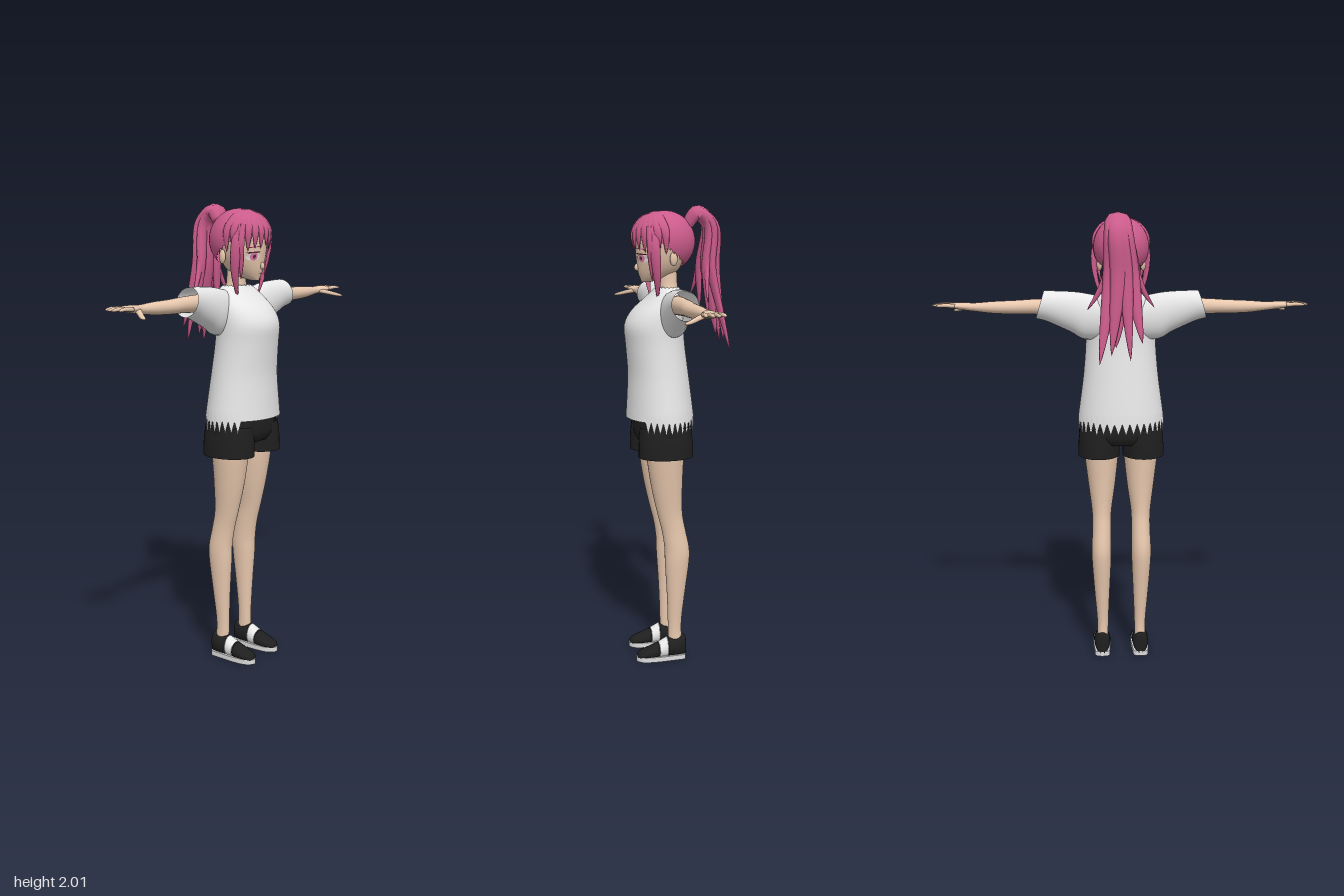
import * as THREE from 'three';

const V = (x, y, z) => new THREE.Vector3(x, y, z);
const mat = (name, color, double) => {
  const m = new THREE.MeshStandardMaterial({ color });
  m.name = name;
  if (double) m.side = THREE.DoubleSide;
  return m;
};

// Smoothly interpolated cross-section at u = 0..1 along a list of sections
function sample(secs, u) {
  const f = u * (secs.length - 1), i = Math.min(Math.floor(f), secs.length - 2), t = f - i;
  const at = k => secs[Math.max(0, Math.min(secs.length - 1, k))];
  return secs[i].map((b, k) => {
    const a = at(i - 1)[k], c = at(i + 1)[k], d = at(i + 2)[k];
    return b + 0.5 * t * (c - a + t * (2 * a - 5 * b + 4 * c - d + t * (3 * (b - c) + d - a)));
  });
}

// Skin a list of closed rings; rings run counter-clockwise about the travel direction
function skin(rings, caps) {
  const n = rings[0].length, pts = rings.flat(), idx = [];
  for (let i = 0; i < rings.length - 1; i++) for (let j = 0; j < n; j++) {
    const a = i * n + j, b = i * n + (j + 1) % n;
    idx.push(a, b, a + n, b, b + n, a + n);
  }
  if (caps) [0, rings.length - 1].forEach((r, end) => {
    const c = pts.length;
    pts.push(rings[r].reduce((s, p) => s.add(p), V(0, 0, 0)).divideScalar(n));
    for (let j = 0; j < n; j++) {
      const a = r * n + j, b = r * n + (j + 1) % n;
      idx.push(c, ...(end ? [a, b] : [b, a]));
    }
  });
  const g = new THREE.BufferGeometry().setFromPoints(pts);
  g.setIndex(idx);
  g.computeVertexNormals();
  return g;
}

// Sections are [position on axis, centre 1, centre 2, radius 1, radius 2], ascending
function loft(axis, secs, { n = 28, caps = true, steps = 4, edit } = {}) {
  const rings = [], count = (secs.length - 1) * steps;
  for (let i = 0; i <= count; i++) {
    const [t, c1, c2, r1, r2] = sample(secs, i / count), ring = [];
    for (let j = 0; j < n; j++) {
      const a = j / n * Math.PI * 2, c = Math.cos(a), s = Math.sin(a);
      const p = axis === 'y' ? V(c1 + r1 * s, t, c2 + r2 * c)
        : axis === 'x' ? V(t, c1 + r1 * c, c2 + r2 * s) : V(c1 + r1 * c, c2 + r2 * s, t);
      if (edit) edit(p, i, j, c, count);
      ring.push(p);
    }
    rings.push(ring);
  }
  return skin(rings, caps);
}

// Flattened, tapering lock along a curve
const lockTaper = t => Math.pow(Math.max(0.0005, Math.sin(Math.PI * (0.25 + 0.75 * t))), 0.7);
const fingerTaper = t => Math.sqrt(Math.max(0.01, 1 - Math.pow(t, 6))) * (1 - 0.3 * t);
function strand(points, side, w, d, taper = lockTaper, steps = 16) {
  const curve = new THREE.CatmullRomCurve3(points), rings = [];
  for (let i = 0; i <= steps; i++) {
    const t = i / steps, p = curve.getPoint(t), T = curve.getTangent(t), k = taper(t);
    const s = side.clone().addScaledVector(T, -side.dot(T)).normalize(), m = T.clone().cross(s);
    rings.push(Array.from({ length: 8 }, (_, j) => {
      const a = j / 8 * Math.PI * 2;
      return p.clone().addScaledVector(s, w * k * Math.cos(a)).addScaledVector(m, d * k * Math.sin(a));
    }));
  }
  return skin(rings, true);
}

function mirrored(geo) {
  const g = geo.clone();
  if (!g.index) g.setIndex([...Array(g.attributes.position.count).keys()]);
  g.scale(-1, 1, 1);
  const ix = g.index.array;
  for (let i = 0; i < ix.length; i += 3) [ix[i], ix[i + 1]] = [ix[i + 1], ix[i]];
  return g;
}

export function createModel() {
  const model = new THREE.Group();
  const M = {
    skin: mat('skin', 0xf0cfb4), shirt: mat('shirt white', 0xf0f0f0, true), hair: mat('pink hair', 0xcc5c8c, true),
    black: mat('black cloth', 0x1f1f20, true), sole: mat('pale sole', 0xdcdcdc), eyeWhite: mat('eye white', 0xf6eeee),
    iris: mat('rose iris', 0xd77a9c), dark: mat('dark lash', 0x5a2a3c), lip: mat('lip', 0xb8706a),
  };
  const add = (name, geo, m) => {
    const mesh = new THREE.Mesh(geo, m);
    mesh.name = name;
    model.add(mesh);
  };
  const both = (name, geo, m) => { add(name + 'Left', geo, m); add(name + 'Right', mirrored(geo), m); };

  // Head, neck, ears and nose
  const headSecs = [[1.685, 0, .135, .012, .02], [1.7, 0, .11, .035, .05], [1.73, 0, .085, .06, .085], [1.77, 0, .075, .08, .1],
    [1.82, 0, .07, .093, .11], [1.88, 0, .06, .1, .12], [1.94, 0, .06, .08, .09], [1.965, 0, .06, .04, .045]];
  add('head', loft('y', headSecs, { n: 36 }), M.skin);
  add('neck', loft('y', [[1.6, 0, .045, .1, .05], [1.64, 0, .045, .075, .045], [1.665, 0, .04, .046, .042], [1.76, 0, .045, .04, .042]]), M.skin);
  both('ear', new THREE.SphereGeometry(1, 12, 10).scale(.012, .03, .018).rotateY(.3).translate(.094, 1.785, .035), M.skin);
  add('nose', new THREE.SphereGeometry(1, 12, 8).scale(.009, .016, .013).rotateX(-.3).translate(0, 1.748, .173), M.skin);

  // Painted face details, laid on the curve of the face
  const faceZ = (x, y) => {
    let lo = 0, hi = 1;
    for (let i = 0; i < 24; i++) {
      const mid = (lo + hi) / 2;
      if (sample(headSecs, mid)[0] < y) lo = mid; else hi = mid;
    }
    const [, , cz, rx, rz] = sample(headSecs, lo);
    return cz + rz * Math.sqrt(Math.max(0, 1 - (x / rx) ** 2));
  };
  const disc = (x, y, rx, ry, lift, tilt = 0) => {
    const g = new THREE.CircleGeometry(1, 24).scale(rx, ry, 1).rotateZ(tilt).translate(x, y, 0), p = g.attributes.position;
    for (let i = 0; i < p.count; i++) p.setZ(i, faceZ(p.getX(i), p.getY(i)) + lift);
    g.computeVertexNormals();
    return g;
  };
  both('eyeWhite', disc(.047, 1.787, .023, .017, .003), M.eyeWhite);
  both('iris', disc(.046, 1.787, .013, .017, .0045), M.iris);
  both('pupil', disc(.046, 1.787, .005, .008, .006), M.dark);
  both('lash', disc(.048, 1.804, .025, .003, .006, -.08), M.dark);
  both('brow', disc(.047, 1.826, .022, .0025, .004, -.12), M.hair);
  add('mouth', disc(0, 1.715, .013, .002, .003), M.lip);

  // Hair cap: a dome with a high front hairline and a low nape
  const cap = new THREE.SphereGeometry(1, 40, 20), cp = cap.attributes.position;
  for (let i = 0; i < cp.count; i++) {
    const a = (i % 41) / 40 * Math.PI * 2, back = (1 - Math.cos(a)) / 2;
    const th = Math.floor(i / 41) / 20 * THREE.MathUtils.degToRad(62 + 88 * back);
    cp.setXYZ(i, .12 * Math.sin(th) * Math.sin(a), 1.855 + .13 * Math.cos(th), .055 + .133 * Math.sin(th) * Math.cos(a));
  }
  cap.computeVertexNormals();
  add('hairCap', cap, M.hair);

  // Fringe locks fanned around the forehead
  const onHead = (a, e, k) => V(.118 * k * Math.sin(a) * Math.cos(e), 1.855 + .127 * k * Math.sin(e), .058 + .133 * k * Math.cos(a) * Math.cos(e));
  for (let i = -6; i <= 6; i++) {
    const a = i * .24, drop = -.2 - .06 * (Math.abs(i) % 2) - .035 * Math.abs(i);
    add('fringeLock', strand([onHead(a * .5, 1.25, .99), onHead(a * .85, .8, 1.03), onHead(a, .3, 1.05), onHead(a * 1.02, drop, 1.03)],
      V(Math.cos(a), 0, -Math.sin(a)), .022, .01), M.hair);
  }
  // Long locks beside the face
  both('sideLock', strand([V(.09, 1.92, .12), V(.116, 1.83, .12), V(.108, 1.72, .11), V(.075, 1.612, .1)], V(.4, 0, -1), .022, .011), M.hair);
  both('templeLock', strand([V(.09, 1.92, .14), V(.107, 1.84, .14), V(.098, 1.77, .135), V(.085, 1.69, .125)], V(.6, 0, -.8), .014, .008), M.hair);

  // Ponytail: rows of [mid x, mid z, tip x, tip y, tip z, half width]
  [[.01, -.13, .03, 1.45, -.17, .055], [-.035, -.14, -.08, 1.47, -.19, .04], [.05, -.14, .1, 1.385, -.215, .04],
    [.02, -.165, .05, 1.42, -.2, .04], [-.05, -.11, -.07, 1.55, -.12, .03], [.06, -.11, .08, 1.53, -.12, .03],
    [-.06, -.11, -.135, 1.61, -.09, .018], [.07, -.115, .15, 1.6, -.1, .018], [-.01, -.16, -.03, 1.4, -.205, .035]]
    .forEach(([mx, mz, tx, ty, tz, w]) => add('ponytailLock', strand([V(.005, 1.925, -.045), V(.015 + mx * .3, 1.975, -.085),
      V(.015 + mx * .5, 1.925, mz * .55 - .065), V(mx, 1.75, mz), V((mx + tx) / 2, (1.72 + ty) / 2, (mz + tz) / 2), V(tx, ty, tz)],
      V(1, 0, 0), w, Math.max(.014, w * .6), lockTaper, 28), M.hair));

  // Shirt body with a ragged hem at the sides and back, and a notched collar
  const torso = [[1.1, 0, .077, .192, .147], [1.2, 0, .08, .178, .138], [1.3, 0, .085, .165, .13], [1.42, 0, .097, .155, .127],
    [1.5, 0, .102, .154, .127], [1.56, 0, .086, .15, .112], [1.61, 0, .06, .138, .083], [1.645, 0, .045, .11, .06], [1.665, 0, .042, .07, .047]];
  add('shirtBody', loft('y', torso, { n: 72, caps: false, edit(p, i, j, c, last) {
    if (i === 0 && c < .6 && j % 2) p.y -= .05;
    if (i === last && j % 4 === 0) p.y -= .012;
  } }), M.shirt);
  // Sleeves, cut on a slant
  both('sleeve', loft('x', [[.06, 1.55, .045, .09, .055], [.16, 1.56, .045, .1, .06], [.22, 1.58, .045, .087, .058],
    [.3, 1.603, .045, .067, .056], [.353, 1.611, .047, .06, .057]],
    { caps: false, edit(p) { p.x -= (p.y - 1.61) * .3 * THREE.MathUtils.smoothstep(p.x, .2, .35); } }), M.shirt);

  // Arms and hands
  both('arm', loft('x', [[.2, 1.6, .045, .04, .04], [.37, 1.602, .045, .033, .034], [.45, 1.6, .045, .03, .033], [.55, 1.6, .04, .026, .028],
    [.635, 1.602, .038, .018, .022], [.67, 1.605, .038, .017, .029], [.71, 1.608, .04, .014, .037], [.74, 1.609, .04, .009, .035]]), M.skin);
  [[.01, .004, .795], [.03, .03, .815], [.05, .054, .818], [.069, .08, .805]].forEach(([z0, z1, x1]) =>
    both('finger', strand([V(.715, 1.609, z0), V(.765, 1.612, (z0 + z1) / 2), V(x1, 1.609, z1)], V(0, 0, 1), .0105, .0095, fingerTaper), M.skin));
  both('thumb', strand([V(.66, 1.602, .045), V(.69, 1.592, .085), V(.715, 1.583, .115), V(.732, 1.576, .145)], V(1, 0, -.5), .015, .011, fingerTaper), M.skin);

  // Shorts
  add('shortsHips', loft('y', [[.995, 0, .072, .165, .1], [1.03, 0, .072, .186, .118], [1.09, 0, .072, .184, .117], [1.16, 0, .075, .165, .11]], { n: 40 }), M.black);
  both('shortsLeg', loft('y', [[.937, .099, .072, .093, .119], [1, .098, .072, .092, .118], [1.07, .092, .072, .09, .112]], { caps: false }), M.black);

  // Legs
  both('leg', loft('y', [[.05, .087, .025, .026, .035], [.15, .085, .03, .025, .03], [.3, .088, .025, .034, .04], [.45, .09, .02, .043, .054],
    [.52, .09, .021, .044, .055], [.6, .088, .035, .042, .053], [.68, .088, .052, .044, .056], [.8, .087, .065, .06, .069],
    [.94, .088, .072, .076, .082], [1.03, .09, .07, .08, .085]]), M.skin);

  // Shoes: [z, top height, half width], black heel and toe with a white band between
  const shoe = rows => loft('z', rows.map(([z, top, r]) => [z, .088, (top + .008) / 2, r, (top - .008) / 2]), { n: 24 });
  both('shoeHeel', shoe([[-.019, .098, .017], [-.01, .11, .029], [.02, .107, .036], [.065, .102, .038]]), M.black);
  both('shoeBand', shoe([[.065, .102, .038], [.085, .091, .0385], [.105, .08, .039]]), M.shirt);
  both('shoeToe', shoe([[.105, .08, .039], [.15, .06, .039], [.185, .047, .031], [.201, .034, .014]]), M.black);
  const outline = new THREE.Shape(new THREE.SplineCurve([[0, .02], [.03, .01], [.036, -.04], [.04, -.12], [.032, -.18], [0, -.206],
    [-.032, -.18], [-.04, -.12], [-.036, -.04], [-.03, .01], [0, .02]].map(p => new THREE.Vector2(...p))).getPoints(40));
  both('sole', new THREE.ExtrudeGeometry(outline, { depth: .022, bevelEnabled: false }).rotateX(-Math.PI / 2).translate(.088, 0, 0), M.sole);

  return model;
}
